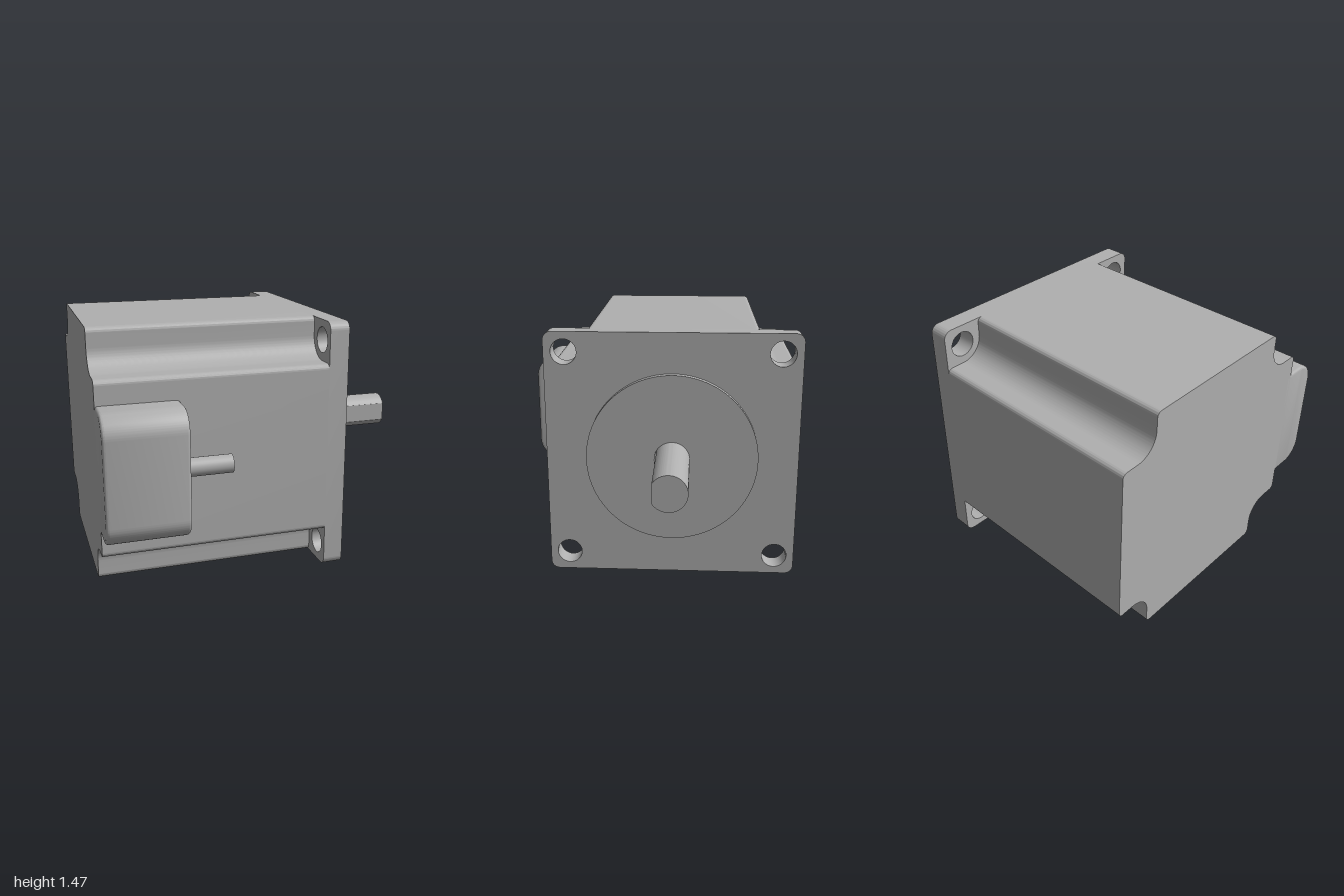
import * as THREE from 'three';
import { toCreasedNormals } from 'three/addons/utils/BufferGeometryUtils.js';

const CY = 0.737, CZ = -0.119; // motor axis
const H = 0.736;               // half width of the square flange

export function createModel() {
  const group = new THREE.Group();
  const metal = new THREE.MeshStandardMaterial({ color: 0xb0b0b0 });
  metal.name = 'grey metal';

  const add = (name, geometry, x, y, z) => {
    const mesh = new THREE.Mesh(geometry, metal);
    mesh.name = name;
    mesh.position.set(x, y, z);
    group.add(mesh);
  };

  // Extrude a profile along +x; profile horizontal is -z, vertical is y
  const extrudeX = (shape, depth, options = {}) => {
    const g = new THREE.ExtrudeGeometry(shape, { depth, bevelEnabled: false, curveSegments: 16, ...options });
    g.rotateY(Math.PI / 2);
    return toCreasedNormals(g, 0.5);
  };

  const cylinderX = (name, r, x0, x1, y, z, segments = 48) => {
    const g = new THREE.CylinderGeometry(r, r, x1 - x0, segments);
    g.rotateZ(-Math.PI / 2);
    add(name, g, (x0 + x1) / 2, y, z);
  };

  // Body: square with a scooped notch at each corner
  const body = new THREE.Shape();
  const f = 0.03, n = 0.5, scoop = 0.13;
  for (let i = 0; i < 4; i++) {
    const a = i * Math.PI / 2, c = Math.cos(a), s = Math.sin(a);
    const arc = (u, v, r, from, to, clockwise) =>
      body.absarc(u * c - v * s, u * s + v * c, r, from + a, to + a, clockwise);
    if (i === 0) body.moveTo(H, n - f);
    arc(H - f, n - f, f, 0, Math.PI / 2, false);
    arc(n + scoop, n + scoop, scoop, -Math.PI / 2, -Math.PI, true);
    arc(n - f, H - f, f, 0, Math.PI / 2, false);
  }
  body.closePath();
  add('body', extrudeX(body, 1.316), -1, CY, CZ);

  // Mounting flange with four bolt holes
  const flange = new THREE.Shape();
  const r = 0.05, k = H - r;
  flange.moveTo(H, -k);
  [[k, k], [-k, k], [-k, -k], [k, -k]].forEach(([u, v], i) =>
    flange.absarc(u, v, r, i * Math.PI / 2, (i + 1) * Math.PI / 2, false));
  for (const u of [-0.62, 0.62]) for (const v of [-0.62, 0.62]) {
    const hole = new THREE.Path();
    hole.absarc(u, v, 0.074, 0, Math.PI * 2, true);
    flange.holes.push(hole);
  }
  add('flange', extrudeX(flange, 0.115), 0.315, CY, CZ);

  // Raised pilot disc
  cylinderX('pilotDisc', 0.5, 0.42, 0.47, CY, CZ, 96);

  // Output shaft: short round base, then a section with a flat facing front
  cylinderX('shaftBase', 0.104, 0.46, 0.484, CY, CZ);
  const shaft = new THREE.Shape();
  const half = Math.acos(0.088 / 0.104);
  shaft.absarc(0, 0, 0.104, -Math.PI + half, Math.PI - half, false);
  shaft.closePath();
  add('shaft', extrudeX(shaft, 0.52, { curveSegments: 48 }), 0.48, CY, CZ);

  // Connector housing: rounded outer edges, softened ends
  const box = new THREE.Shape();
  const out = -0.853, inner = -0.58, top = 0.36, R = 0.125, b = 0.018;
  box.moveTo(inner, -top);
  box.lineTo(inner, top);
  box.absarc(out + R, top - R, R, Math.PI / 2, Math.PI, false);
  box.absarc(out + R, -top + R, R, Math.PI, Math.PI * 1.5, false);
  box.closePath();
  add('connectorHousing', extrudeX(box, 0.455 - 2 * b, {
    bevelEnabled: true, bevelSize: b, bevelThickness: b, bevelOffset: -b, bevelSegments: 4,
  }), -1 + b, 0.74, 0);

  // Cable stub
  cylinderX('cable', 0.052, -0.56, -0.278, 0.74, 0.685, 32);

  return group;
}
